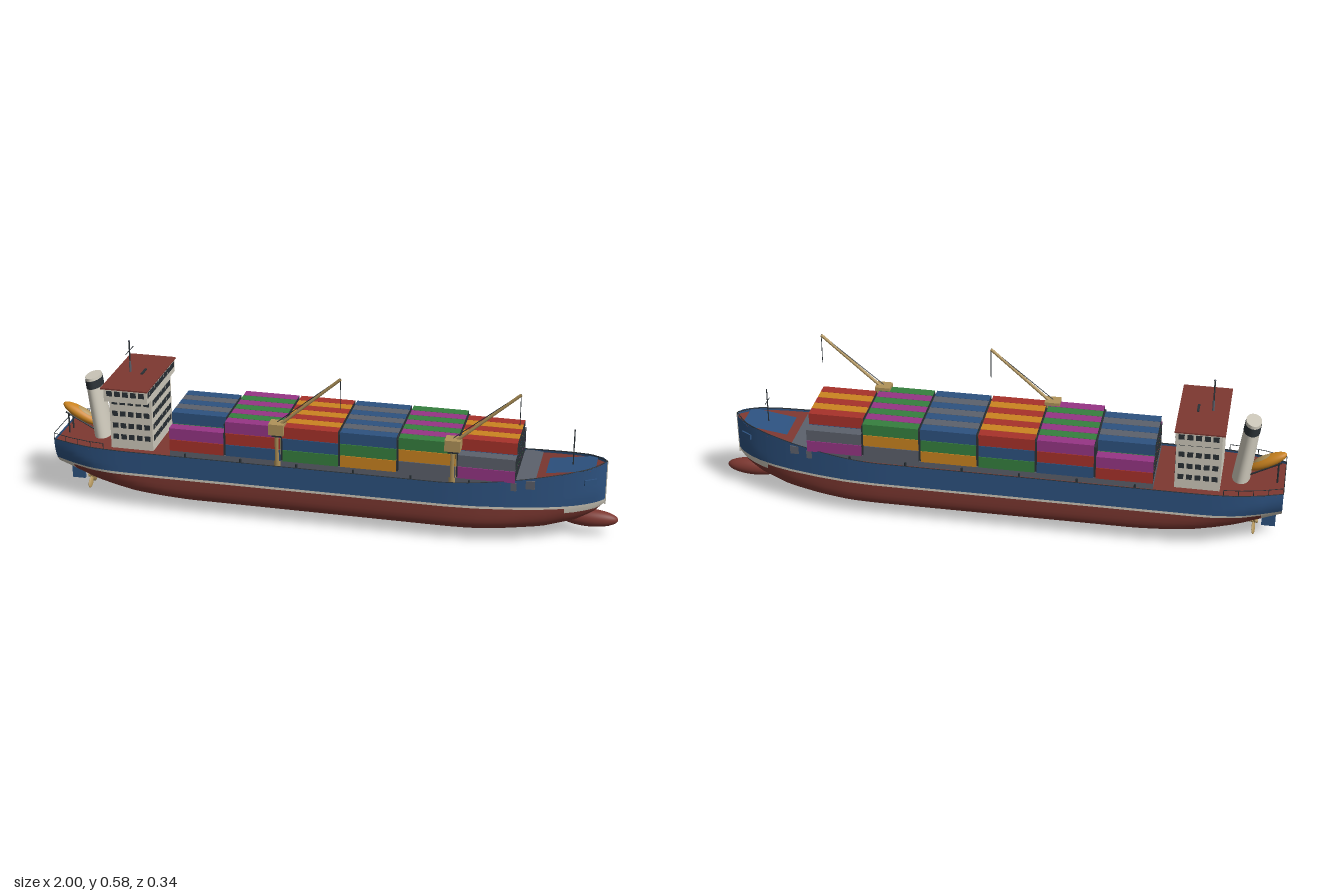
import * as THREE from 'three';
import { toCreasedNormals } from 'three/addons/utils/BufferGeometryUtils.js';

const material = (name, color) => new THREE.MeshStandardMaterial({ name, color, side: THREE.DoubleSide });

// Linear lookup in a short [x, value] table
function lookup(table, x) {
  if (x <= table[0][0]) return table[0][1];
  for (let i = 1; i < table.length; i++) {
    const [x0, v0] = table[i - 1], [x1, v1] = table[i];
    if (x <= x1) return v0 + (v1 - v0) * (x - x0) / (x1 - x0);
  }
  return table[table.length - 1][1];
}
const BEAM = [[-1, .11], [-.93, .135], [-.86, .151], [-.78, .16], [-.7, .162], [.42, .162], [.52, .156], [.62, .142],
  [.72, .122], [.8, .1], [.87, .074], [.91, .052], [.935, .03], [.95, .004]];
const KEEL = [[-1, .098], [-.95, .085], [-.85, .06], [-.7, .042], [-.5, .032], [.5, .03], [.75, .042], [.85, .062], [.91, .09], [.95, .13]];
const beam = x => lookup(BEAM, x);
const keel = x => lookup(KEEL, x);
const sheer = x => .223 + .062 * Math.pow(Math.max(0, (x - .4) / .55), 1.5);

// Half width of the hull at station x and height y: boxy amidships, rounder at the ends
function halfWidth(x, y) {
  const end = THREE.MathUtils.smoothstep(Math.abs(x), .55, .95);
  const p = 3.6 - 1.5 * end;
  const s = THREE.MathUtils.clamp((y - keel(x)) / (.09 + .03 * end), 0, 1);
  return beam(x) * Math.pow(1 - Math.pow(1 - s, p), 1 / p);
}

// Surface through a grid of points
function grid(rows, cols, point, flip) {
  const pos = [], idx = [];
  for (let i = 0; i < rows; i++) for (let j = 0; j < cols; j++) pos.push(...point(i, j));
  for (let i = 0; i < rows - 1; i++) for (let j = 0; j < cols - 1; j++) {
    const a = i * cols + j, b = a + cols, c = b + 1, d = a + 1;
    idx.push(...(flip ? [a, c, b, a, d, c] : [a, b, c, a, c, d]));
  }
  const g = new THREE.BufferGeometry();
  g.setAttribute('position', new THREE.Float32BufferAttribute(pos, 3));
  g.setIndex(idx);
  return toCreasedNormals(g, .6);
}

export function createModel() {
  const ship = new THREE.Group();
  ship.name = 'containerShip';
  const blue = material('hullBlue', 0x2d5280), red = material('bottomRed', 0x7d3831);
  const white = material('offWhite', 0xcfcabc), dark = material('darkSteel', 0x2a3136);
  const tan = material('craneTan', 0xb0935a), crimson = material('containerRed', 0xa8322a);
  const magenta = material('containerMagenta', 0x963585), green = material('containerGreen', 0x36803f);
  const orange = material('orange', 0xcb8420), gray = material('steelGray', 0x5c616c);

  const add = (name, geo, mat, x = 0, y = 0, z = 0, parent = ship) => {
    const m = new THREE.Mesh(geo, mat);
    m.name = name;
    m.position.set(x, y, z);
    parent.add(m);
    return m;
  };
  const box = (name, mat, w, h, d, x, y, z, parent) => add(name, new THREE.BoxGeometry(w, h, d), mat, x, y, z, parent);
  const rod = (name, mat, a, b, r, sides = 8) => {
    const va = new THREE.Vector3(...a), vb = new THREE.Vector3(...b), dir = vb.clone().sub(va);
    const m = add(name, new THREE.CylinderGeometry(r, r, dir.length(), sides), mat);
    m.position.copy(va).add(vb).multiplyScalar(.5);
    m.quaternion.setFromUnitVectors(new THREE.Vector3(0, 1, 0), dir.normalize());
    return m;
  };

  // Hull in three colour bands; the first and last stations close the ends
  const xs = [];
  for (let i = 0; i <= 60; i++) xs.push(-1 + 1.95 * i / 60);
  xs.push(-.931, -.93, .82, .821, .935, .943);
  xs.sort((a, b) => a - b);
  const stations = [{ x: -1, k: 0 }, ...xs.map(x => ({ x, k: 1 })), { x: .95, k: 0 }];
  const whiteLow = x => x < -.9305 ? .09 : x > .8205 ? .115 : .134;
  const bands = [
    ['hullBottom', red, keel, whiteLow, 14, 3],
    ['waterlineBand', white, whiteLow, () => .143, 4, 1],
    ['hullTopsides', blue, () => .143, sheer, 6, 1]];
  for (const [name, mat, low, high, n, power] of bands) for (const s of [1, -1]) {
    add(name, grid(stations.length, n + 1, (i, j) => {
      const { x, k } = stations[i];
      const lo = Math.max(low(x), keel(x)), hi = Math.max(high(x), keel(x));
      const y = lo + (hi - lo) * Math.pow(j / n, power);
      return [x, y, s * k * halfWidth(x, y)];
    }, s < 0), mat);
  }

  // Decks, following the sheer
  const deck = (name, mat, x0, x1, drop, width) => add(name, grid(41, 2, (i, j) => {
    const x = x0 + (x1 - x0) * i / 40;
    return [x, sheer(x) - drop, (j ? -1 : 1) * width(x)];
  }), mat);
  deck('mainDeck', red, -1, .95, .01, beam);
  deck('foredeck', blue, .75, .915, .006, x => Math.min(.063, beam(x)));

  // Dark cap rail, side rails and posts
  for (const s of [1, -1]) {
    const line = (x0, x1, up, r, name) => {
      const pts = [];
      for (let i = 0; i <= 40; i++) {
        const x = x0 + (x1 - x0) * i / 40;
        pts.push(new THREE.Vector3(x, sheer(x) + up, s * (beam(x) - .002)));
      }
      add(name, new THREE.TubeGeometry(new THREE.CatmullRomCurve3(pts), 80, r, 5), dark);
    };
    line(-1, .95, 0, .002, 'capRail');
    line(-1, -.8, .022, .0013, 'sternRail');
    for (let x = -1; x < -.79; x += .05) rod('railPost', dark, [x, .22, s * (beam(x) - .002)], [x, .245, s * (beam(x) - .002)], .0013, 5);
    for (let x = -.5; x < .7; x += .2) rod('bollard', dark, [x, .212, s * (beam(x) - .008)], [x, .235, s * (beam(x) - .008)], .004);
    // Anchor pockets on the bow
    const anchor = box('anchorPocket', blue, .045, .02, .014, .9, .227, s * .055);
    anchor.rotation.y = s * .55;
  }
  rod('sternRail', dark, [-1, .245, -.108], [-1, .245, .108], .0013, 5);

  // Stem bar, bulbous bow, rudder and propeller
  box('stemBar', white, .006, .16, .006, .95, .205, 0);
  add('bulbousBow', new THREE.SphereGeometry(1, 28, 18), red, .9, .066, 0).scale.set(.1, .031, .031);
  box('rudder', blue, .048, .075, .01, -.956, .064, 0);
  rod('propellerShaft', tan, [-.92, .038, 0], [-.82, .05, 0], .007);
  for (let i = 0; i < 4; i++) {
    const pivot = new THREE.Group();
    pivot.name = 'propellerBlade';
    pivot.position.set(-.906, .038, 0);
    pivot.rotation.x = Math.PI / 4 + i * Math.PI / 2;
    ship.add(pivot);
    const blade = add('blade', new THREE.SphereGeometry(1, 12, 8), tan, 0, .025, 0, pivot);
    blade.scale.set(.004, .023, .011);
    blade.rotation.y = .5;
  }

  // Hatch coaming and container stacks with dark ends
  box('hatchCoaming', gray, 1.22, .03, .276, .05, .22, 0);
  box('forwardHatch', gray, .062, .03, .256, .69, .227, 0);
  const palette = [magenta, gray, orange, green, blue, crimson];
  const crate = new THREE.BoxGeometry(.196, .042, .0395);
  for (let bay = 0; bay < 6; bay++) for (let row = 0; row < 7; row++) {
    const outer = row === 0 || row === 6, endBay = bay === 0 || bay === 5;
    for (let tier = 0; tier < (outer && endBay ? 2 : 3); tier++) {
      const c = palette[(5 - bay + tier + 3 * row) % 6];
      add('container', crate, [dark, dark, c, c, c, c], -.461 + .2035 * bay, .257 + .0435 * tier, (row - 3) * .0407);
    }
  }
  for (let bay = 0; bay < 5; bay++) box('lashingFrame', dark, .006, .118, .27, -.359 + .2035 * bay, .295, 0);

  // Accommodation block and bridge with wings
  box('accommodation', white, .155, .2, .224, -.707, .312, 0);
  box('bridge', white, .157, .047, .322, -.707, .4335, 0);
  box('bridgeRoof', red, .17, .005, .335, -.71, .4595, 0);
  const levels = [.258, .301, .346, .39, .441];
  levels.forEach((y, level) => {
    const top = level === 4, side = top ? .161 : .112, count = top ? 12 : 8;
    for (const s of [1, -1]) for (let i = 0; i < 5; i++)
      box('sideWindow', dark, .02, .019, .003, -.765 + .029 * i, y, s * side);
    for (let i = 0; i < count; i++)
      box('frontWindow', dark, .003, .02, .02, top ? -.6285 : -.6295, y, (i - (count - 1) / 2) * .0258);
  });

  // Masts
  rod('mainMast', dark, [-.74, .46, 0], [-.74, .578, 0], .0025);
  rod('mainMastBase', gray, [-.74, .46, 0], [-.74, .5, 0], .004);
  rod('mastYard', dark, [-.74, .542, -.041], [-.74, .542, .041], .0015);
  add('mastLight', new THREE.SphereGeometry(.004, 10, 8), gray, -.74, .577, 0);
  box('radarScanner', dark, .008, .004, .048, -.69, .467, 0);
  rod('foremast', dark, [.835, .24, 0], [.835, .39, 0], .002);
  rod('foremastYard', dark, [.835, .342, -.025], [.835, .342, .025], .0013);

  // Raked oval funnel with a dark band near its top
  const funnel = new THREE.Group();
  funnel.name = 'funnel';
  funnel.position.set(-.85, .21, 0);
  funnel.rotation.z = .13;
  funnel.scale.set(.6, 1, 1);
  ship.add(funnel);
  add('funnelCasing', new THREE.CylinderGeometry(.045, .052, .23, 28), white, 0, .115, 0, funnel);
  add('funnelBand', new THREE.CylinderGeometry(.0475, .048, .03, 28, 1, true), dark, 0, .205, 0, funnel);

  // Stern lifeboat on its ramp
  const boat = new THREE.Group();
  boat.name = 'lifeboat';
  boat.position.set(-.935, .283, 0);
  boat.rotation.z = -.5;
  ship.add(boat);
  add('lifeboatHull', new THREE.SphereGeometry(1, 24, 16), orange, 0, 0, 0, boat).scale.set(.073, .021, .027);
  add('lifeboatCanopy', new THREE.SphereGeometry(1, 20, 12), tan, .008, .007, 0, boat).scale.set(.045, .017, .019);
  for (const s of [1, -1]) {
    rod('lifeboatRamp', dark, [-.985, .292, s * .02], [-.86, .225, s * .02], .003);
    rod('rampLeg', dark, [-.975, .212, s * .02], [-.975, .288, s * .02], .003);
  }

  // Two deck cranes on the left of the ship's centreline
  for (const x of [-.172, .44]) {
    rod('cranePedestal', tan, [x, .21, .13], [x, .34, .13], .014, 16);
    box('craneHouse', tan, .054, .04, .048, x, .356, .13);
    box('craneCollar', dark, .034, .01, .03, x, .331, .13);
    rod('craneJib', tan, [x + .005, .365, .13], [x + .222, .555, .13], .0055, 8);
    rod('jibStay', dark, [x, .378, .13], [x + .222, .558, .13], .0015, 5);
    rod('hoistCable', dark, [x + .222, .555, .13], [x + .222, .445, .13], .0013, 5);
  }
  return ship;
}
